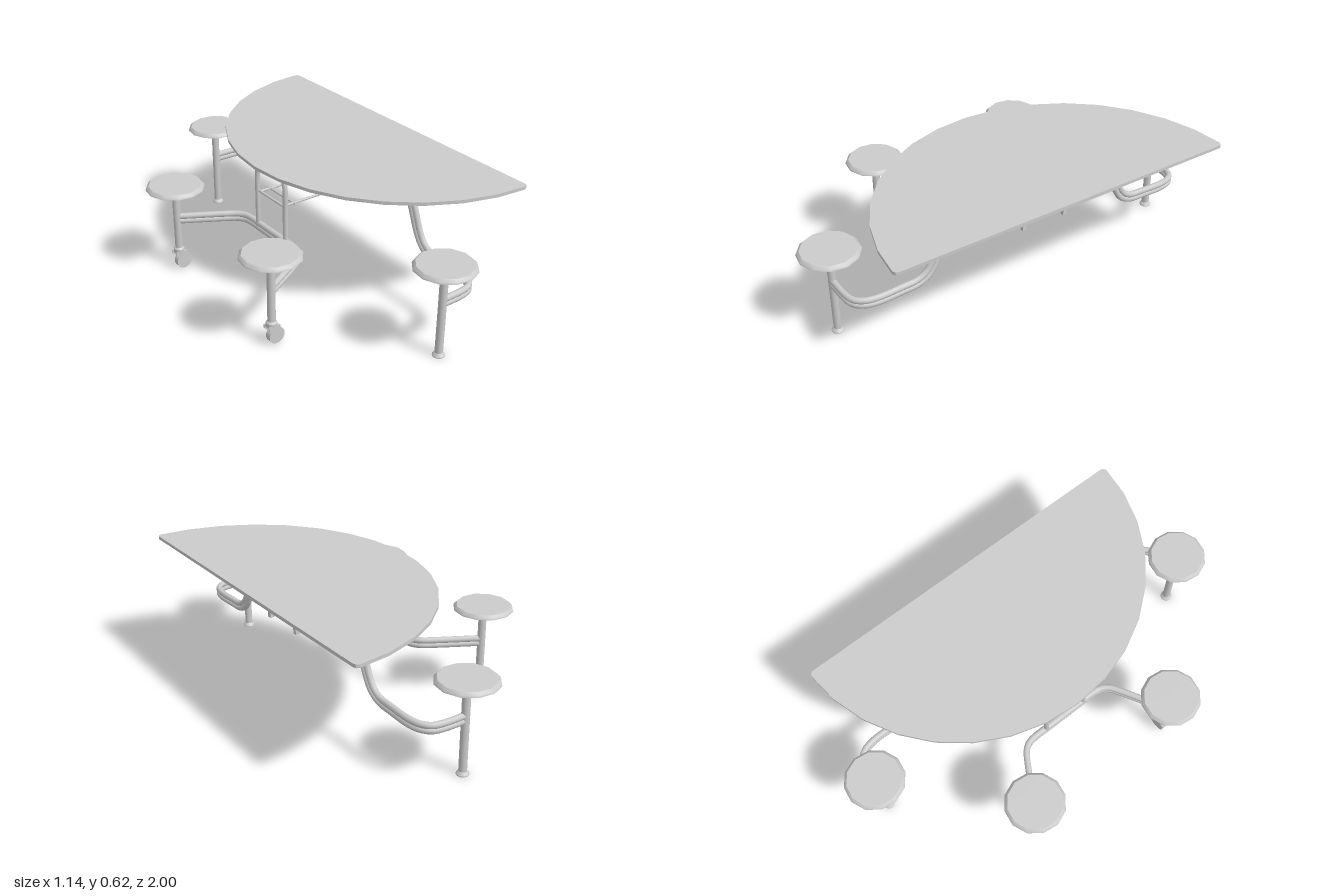
import * as THREE from 'three';
import { toCreasedNormals } from 'three/addons/utils/BufferGeometryUtils.js';

export function createModel() {
  const model = new THREE.Group();
  model.name = 'foldingTableWithStools';
  const mat = new THREE.MeshStandardMaterial({ color: 0xcccccc, side: THREE.DoubleSide });

  const add = (parent, name, geo, x = 0, y = 0, z = 0) => {
    const mesh = new THREE.Mesh(geo, mat);
    mesh.name = name;
    mesh.position.set(x, y, z);
    parent.add(mesh);
    return mesh;
  };
  const box = (parent, name, w, h, d, x, y, z) => add(parent, name, new THREE.BoxGeometry(w, h, d), x, y, z);
  const curveOf = pts => new THREE.CatmullRomCurve3(pts.map(p => new THREE.Vector3(...p)), false, 'centripetal');
  const lathe = (pts, sides) =>
    toCreasedNormals(new THREE.LatheGeometry(pts.map(p => new THREE.Vector2(...p)), sides), 0.6);

  // Two stacked tubes that follow one path
  const tubePair = (name, pts) => {
    const pair = new THREE.Group();
    pair.name = name;
    const path = curveOf(pts);
    const up = new THREE.Vector3(0, 1, 0);
    for (const offset of [-0.0115, 0.0115]) {
      const shifted = [];
      for (let i = 0; i <= 36; i++) {
        const t = path.getTangentAt(i / 36);
        const side = t.clone().cross(up).normalize();
        shifted.push(path.getPointAt(i / 36).addScaledVector(side.cross(t), offset));
      }
      const curve = new THREE.CatmullRomCurve3(shifted, false, 'centripetal');
      add(pair, 'tube', new THREE.TubeGeometry(curve, 44, 0.0145, 10));
    }
    model.add(pair);
  };

  // Half-round tabletop with small rounded corners
  const R = 0.82, edgeX = 0.57;
  const outline = [[edgeX, -0.8], [edgeX, 0.8], [0.565, 0.813], [0.552, 0.819]];
  for (let i = 1; i < 16; i++) {
    const a = (i / 16) * Math.PI;
    outline.push([edgeX - R * Math.sin(a), R * Math.cos(a)]);
  }
  outline.push([0.552, -0.819], [0.565, -0.813]);
  const top = new THREE.ExtrudeGeometry(new THREE.Shape(outline.map(p => new THREE.Vector2(...p))),
    { depth: 0.015, bevelEnabled: false });
  top.rotateX(-Math.PI / 2);
  add(model, 'tabletop', toCreasedNormals(top, 0.5), 0, 0.61, 0);

  // Box under the top
  box(model, 'underBox', 0.555, 0.07, 0.545, 0.218, 0.576, 0);

  // Latch frame: hanging posts, long rods and cross rods
  for (const s of [-1, 1]) {
    box(model, 'hangingPost', 0.02, 0.13, 0.02, 0.375, 0.48, s * 0.105);
    const rod = add(model, 'longRod', new THREE.CylinderGeometry(0.006, 0.006, 0.54, 8), 0.106, 0.445, s * 0.09);
    rod.rotation.z = Math.PI / 2;
  }
  for (const x of [0.37, -0.11, -0.165]) {
    const rod = add(model, 'crossRod', new THREE.CylinderGeometry(0.006, 0.006, 0.21, 8), x, 0.445, 0);
    rod.rotation.x = Math.PI / 2;
  }

  // Upside-down U frame standing on the rear bench tubes
  const half = [[0.107, 0.265], [0.107, 0.4], [0.107, 0.53], [0.1, 0.565], [0.08, 0.588], [0.05, 0.597]];
  const hoop = [...half.map(([z, y]) => [-0.168, y, z]), ...half.map(([z, y]) => [-0.168, y, -z]).reverse()];
  add(model, 'uFrame', new THREE.TubeGeometry(curveOf(hoop), 60, 0.012, 10));

  // Tubes joining the two wheeled stools
  const bend = [[-0.437, 0.385], [-0.33, 0.325], [-0.235, 0.27], [-0.195, 0.243], [-0.172, 0.21], [-0.166, 0.17], [-0.166, 0.08]];
  tubePair('stoolCrossTubes', [...bend.map(([x, z]) => [x, 0.264, z]),
    ...bend.map(([x, z]) => [x, 0.264, -z]).reverse()]);

  // Swept tubes from the under box to the fixed stools
  for (const s of [-1, 1]) {
    const arm = [[0.073, 0.262, 0.865], [0.18, 0.262, 0.862], [0.23, 0.262, 0.85], [0.262, 0.263, 0.815],
      [0.276, 0.264, 0.76], [0.276, 0.267, 0.64], [0.276, 0.272, 0.57], [0.276, 0.3, 0.52], [0.276, 0.36, 0.482],
      [0.276, 0.46, 0.442], [0.276, 0.515, 0.41], [0.276, 0.553, 0.365], [0.276, 0.573, 0.3], [0.276, 0.575, 0.22]];
    tubePair('sweptArm', arm.map(([x, y, z]) => [x, y, s * z]));
  }

  // Stools
  const seatGeo = lathe([[0, 0.426], [0.136, 0.426], [0.134, 0.432], [0.122, 0.444], [0, 0.445]], 12);
  const collarGeo = lathe([[0.018, 0.38], [0.025, 0.39], [0.025, 0.428]], 14);
  const footGeo = lathe([[0, 0], [0.028, 0], [0.028, 0.004], [0.018, 0.017]], 14);
  const swivelGeo = lathe([[0, 0.09], [0.025, 0.09], [0.025, 0.107], [0.018, 0.115]], 14);
  const forkShape = new THREE.Shape([[-0.028, 0.095], [-0.028, 0.077], [0.01, 0.03], [0.028, 0.03], [0.028, 0.095]]
    .map(p => new THREE.Vector2(...p)));
  const forkGeo = new THREE.ExtrudeGeometry(forkShape, { depth: 0.005, bevelEnabled: false });

  const makeStool = (name, x, z, wheeled) => {
    const stool = new THREE.Group();
    stool.name = name;
    stool.position.set(x, 0, z);
    add(stool, 'seat', seatGeo).rotation.y = 0.12;
    add(stool, 'seatCollar', collarGeo);
    const base = wheeled ? 0.1 : 0.005;
    add(stool, 'post', new THREE.CylinderGeometry(0.018, 0.018, 0.426 - base, 14), 0, (0.426 + base) / 2, 0);
    if (wheeled) {
      add(stool, 'swivel', swivelGeo);
      for (const fz of [-0.022, 0.017]) add(stool, 'forkPlate', forkGeo, 0.002, 0, fz);
      box(stool, 'forkCrown', 0.05, 0.008, 0.04, 0.002, 0.09, 0);
      add(stool, 'wheel', new THREE.CylinderGeometry(0.039, 0.039, 0.028, 18), 0.018, 0.039, 0)
        .rotation.x = Math.PI / 2;
    } else {
      add(stool, 'foot', footGeo);
    }
    model.add(stool);
  };
  for (const s of [-1, 1]) {
    makeStool('wheeledStool', -0.438, s * 0.385, true);
    makeStool('fixedStool', 0.073, s * 0.865, false);
  }
  return model;
}
